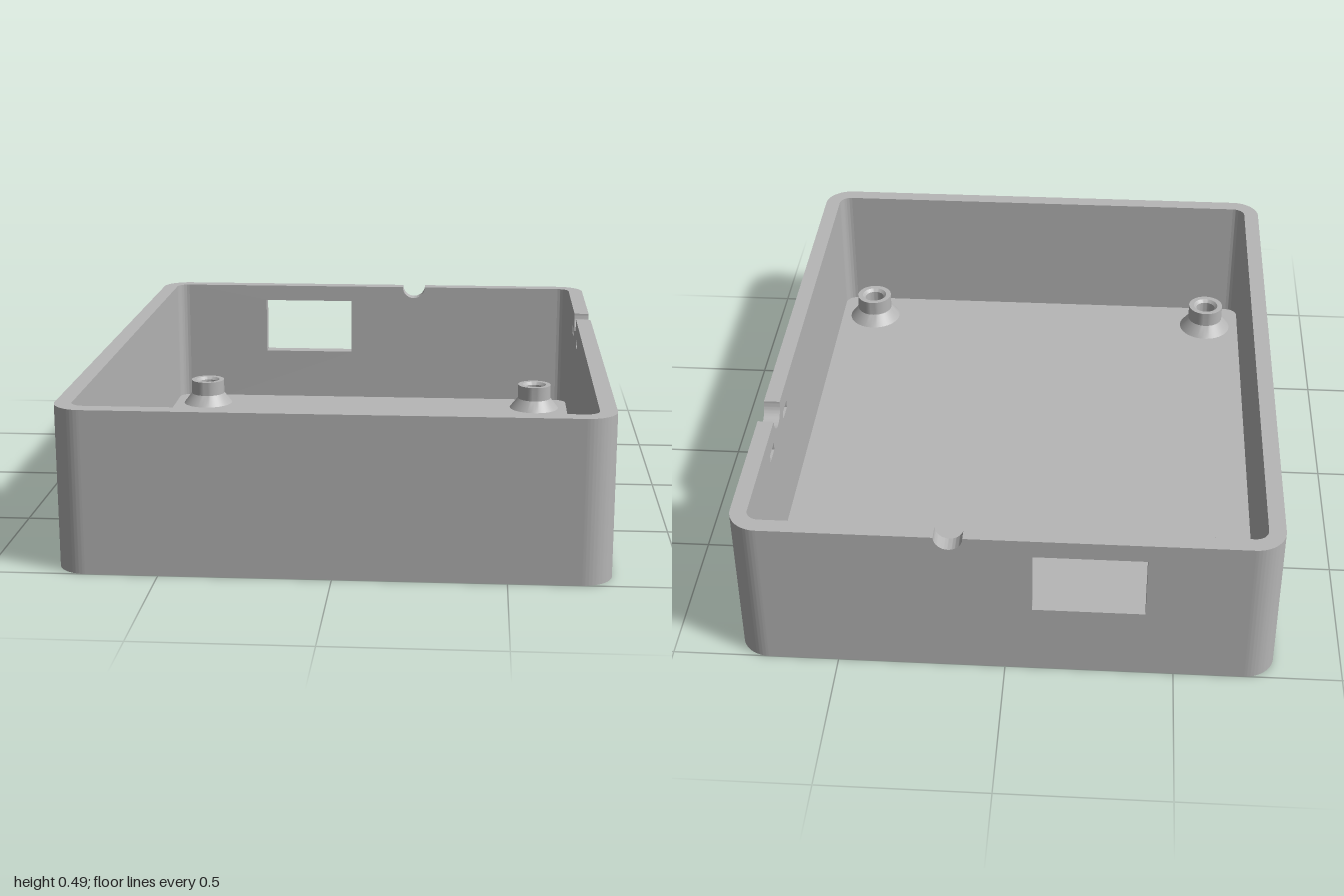
import * as THREE from 'three';
import { toCreasedNormals } from 'three/addons/utils/BufferGeometryUtils.js';

const W = 0.8, D = 1, H = 0.487;      // half width, half depth, height
const T = 0.05, R = 0.09;             // wall thickness, outer corner radius

const extrude = (shape, depth) =>
  toCreasedNormals(new THREE.ExtrudeGeometry(shape, { depth, bevelEnabled: false, curveSegments: 20 }), 0.5);

// Straight wall in the XY plane with an optional round notch in its rim and square holes
function wallGeometry(half, notch, holes = []) {
  const s = new THREE.Shape();
  s.moveTo(-half, 0);
  s.lineTo(half, 0);
  s.lineTo(half, H);
  if (notch) {
    s.lineTo(notch.at + notch.r, H);
    s.absarc(notch.at, H, notch.r, 0, -Math.PI, true);
  }
  s.lineTo(-half, H);
  s.closePath();
  for (const [x0, y0, x1, y1] of holes) {
    const p = new THREE.Path();
    p.moveTo(x0, y0);
    p.lineTo(x0, y1);
    p.lineTo(x1, y1);
    p.lineTo(x1, y0);
    p.closePath();
    s.holes.push(p);
  }
  return extrude(s, T);
}

// Quarter ring joining two walls
function cornerGeometry() {
  const s = new THREE.Shape();
  s.absarc(0, 0, R, 0, Math.PI / 2, false);
  s.absarc(0, 0, R - T, Math.PI / 2, 0, true);
  s.closePath();
  return extrude(s, H).rotateX(-Math.PI / 2);
}

// Floor slab fitting inside the walls
function floorGeometry() {
  const w = W - T, d = D - T, r = R - T, q = Math.PI / 2;
  const s = new THREE.Shape();
  s.absarc(w - r, d - r, r, 0, q, false);
  s.absarc(r - w, d - r, r, q, 2 * q, false);
  s.absarc(r - w, r - d, r, 2 * q, 3 * q, false);
  s.absarc(w - r, r - d, r, 3 * q, 4 * q, false);
  s.closePath();
  return extrude(s, T).rotateX(-Math.PI / 2);
}

// Screw post: flared foot, straight neck and chamfered blind hole
function postGeometry() {
  const profile = [
    [0.092, 0], [0.062, 0.038], [0.062, 0.09], [0.044, 0.09], [0.034, 0.08], [0.034, 0.004], [0, 0.004],
  ].map(([x, y]) => new THREE.Vector2(x, y));
  return toCreasedNormals(new THREE.LatheGeometry(profile.reverse(), 40).scale(1, 1, 1), 0.4);
}

export function createModel() {
  const model = new THREE.Group();
  model.name = 'openEnclosure';
  const grey = new THREE.MeshStandardMaterial({ color: 0xb6b6b6 });
  grey.name = 'grey plastic';
  grey.side = THREE.DoubleSide;

  const add = (name, geometry, x, y, z, turn = 0) => {
    const mesh = new THREE.Mesh(geometry, grey);
    mesh.name = name;
    mesh.position.set(x, y, z);
    mesh.rotation.y = turn;
    model.add(mesh);
  };

  add('floor', floorGeometry(), 0, 0, 0);

  // Walls: plain front and one plain side, openings in the other two
  add('frontWall', wallGeometry(W - R), 0, 0, D - T);
  add('backWall', wallGeometry(W - R, { at: 0.16, r: 0.042 }, [[-0.41, 0.23, -0.08, 0.43]]), 0, 0, -D);
  add('plainSideWall', wallGeometry(D - R), -W, 0, 0, Math.PI / 2);
  add('portSideWall', wallGeometry(D - R, { at: 0.423, r: 0.053 },
    [[0.277, 0.4, 0.342, 0.425], [0.502, 0.4, 0.567, 0.425]]), W - T, 0, 0, Math.PI / 2);

  // Rounded corners
  const corner = cornerGeometry();
  [[1, -1], [-1, -1], [-1, 1], [1, 1]].forEach(([sx, sz], k) =>
    add('corner', corner, sx * (W - R), 0, sz * (D - R), k * Math.PI / 2));

  // Four screw posts on the floor
  const post = postGeometry();
  for (const sx of [-1, 1]) for (const sz of [-1, 1])
    add('screwPost', post, sx * 0.627, T, sz * 0.83);

  return model;
}
